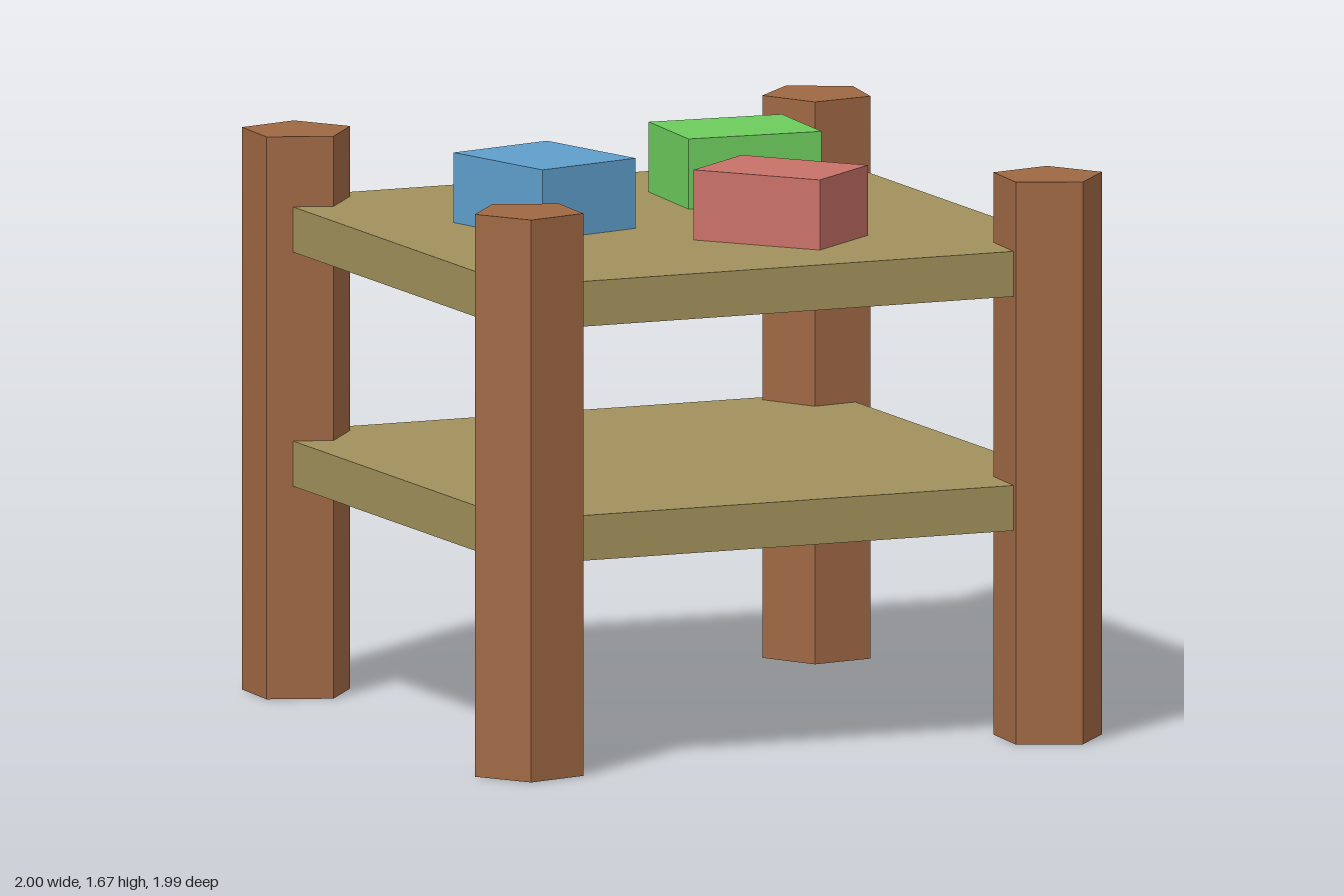
import * as THREE from 'three';

const mat = (color) => new THREE.MeshStandardMaterial({ color, flatShading: true });
const rad = THREE.MathUtils.degToRad;

export function createModel() {
  const group = new THREE.Group();
  const add = (name, geometry, material, x, y, z, turn = 0) => {
    const mesh = new THREE.Mesh(geometry, material);
    mesh.name = name;
    mesh.position.set(x, y, z);
    mesh.rotation.y = rad(turn);
    group.add(mesh);
  };

  const height = 1.667;
  const shelfThickness = 0.134;
  const shelfTop = 1.459;

  // Five-sided corner posts, each turned slightly differently
  const legGeometry = new THREE.CylinderGeometry(0.167, 0.167, height, 5);
  const legMaterial = mat(0x9f6844);
  const legs = [
    ['backRightLeg', -1, -1, 87.6],
    ['backLeftLeg', 1, -1, -98.5],
    ['frontRightLeg', -1, 1, -92.9],
    ['frontLeftLeg', 1, 1, 85.5],
  ];
  for (const [name, sx, sz, turn] of legs) {
    add(name, legGeometry, legMaterial, sx * 0.833, height / 2, sz * 0.833, turn);
  }

  // Two square shelves
  const shelfGeometry = new THREE.BoxGeometry(1.8, shelfThickness, 1.8);
  const shelfMaterial = mat(0xa2915c);
  add('lowerShelf', shelfGeometry, shelfMaterial, 0, 0.698, 0);
  add('upperShelf', shelfGeometry, shelfMaterial, 0, shelfTop - shelfThickness / 2, 0);

  // Coloured blocks lying on the upper shelf: x, z, width, depth, turn
  const blockHeight = height - shelfTop;
  const blocks = [
    ['blueBlock', 0x5f9fcb, -0.367, -0.097, 0.35, 0.415, 14.7],
    ['greenBlock', 0x6ccc5c, 0.36, -0.36, 0.415, 0.34, -3.9],
    ['redBlock', 0xc87268, 0.173, 0.39, 0.415, 0.31, -51],
  ];
  for (const [name, color, x, z, w, d, turn] of blocks) {
    const geometry = new THREE.BoxGeometry(w, blockHeight, d);
    add(name, geometry, mat(color), x, shelfTop + blockHeight / 2, z, turn);
  }

  return group;
}
